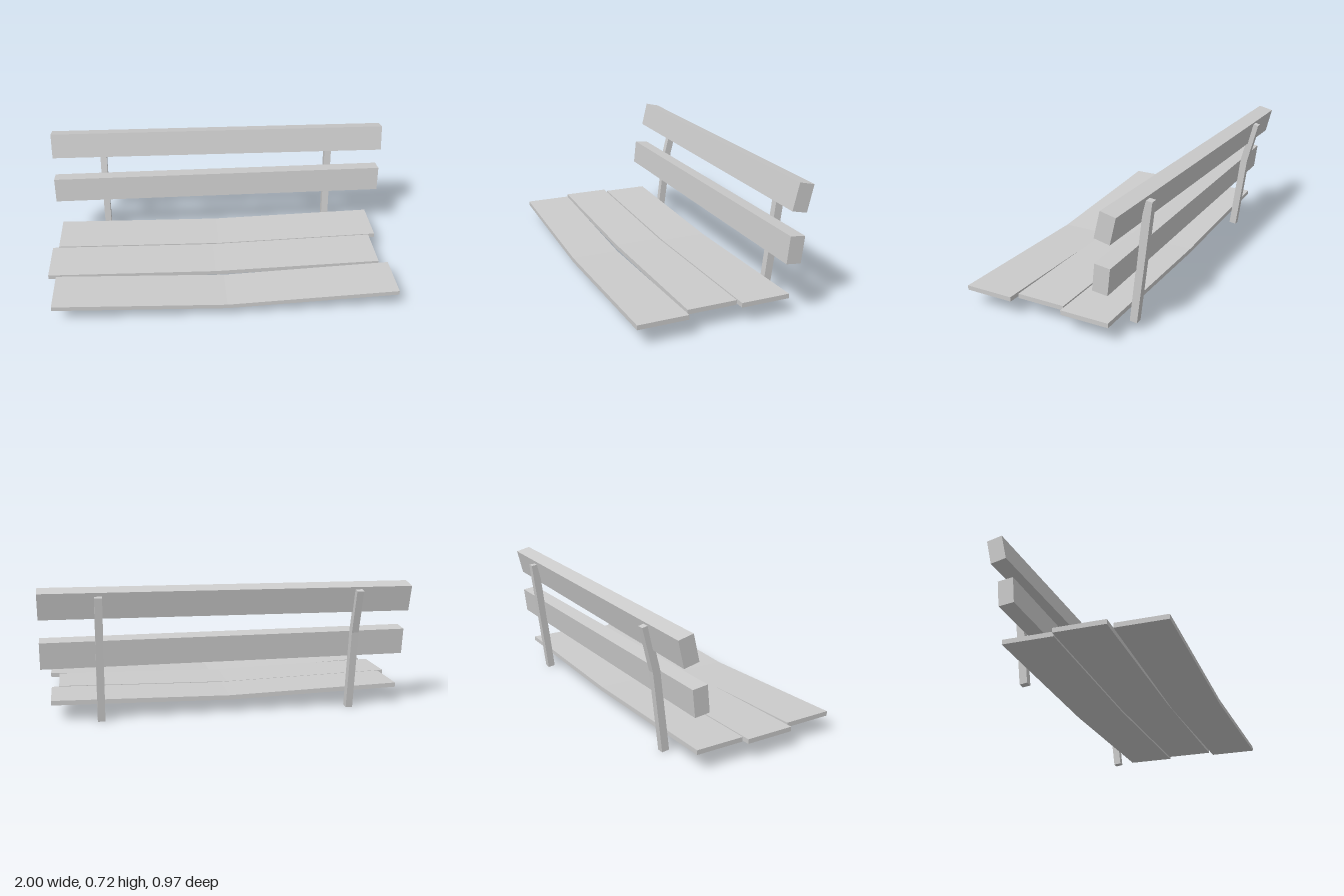
import * as THREE from 'three';

const material = new THREE.MeshStandardMaterial({
  color: 0xcccccc, flatShading: true, side: THREE.DoubleSide,
});

// Lofts matching [z, y] rings along x; rings run counter-clockwise seen from +x.
function loft(name, sections) {
  const pos = [];
  const tri = (...pts) => pts.forEach((p) => pos.push(...p));
  const rings = sections.map(([x, ring]) => ring.map(([z, y]) => [x, y, z]));
  const n = rings[0].length;
  for (let s = 0; s < rings.length - 1; s++) {
    const a = rings[s], b = rings[s + 1];
    for (let i = 0; i < n; i++) {
      const j = (i + 1) % n;
      tri(a[i], a[j], b[j]);
      tri(a[i], b[j], b[i]);
    }
  }
  // End caps
  const first = rings[0], last = rings[rings.length - 1];
  for (let i = 1; i < n - 1; i++) {
    tri(first[0], first[i + 1], first[i]);
    tri(last[0], last[i], last[i + 1]);
  }
  const geometry = new THREE.BufferGeometry();
  geometry.setAttribute('position', new THREE.Float32BufferAttribute(pos, 3));
  geometry.computeVertexNormals();
  const mesh = new THREE.Mesh(geometry, material);
  mesh.name = name;
  return mesh;
}

const shift = (ring, dz, dy) => ring.map(([z, y]) => [z + dz, y + dy]);

// Seat plank sagging at its middle
function plank(name, x0, x1, zBack, zFront, sag) {
  const ring = [[zFront, 0.095], [zBack, 0.095], [zBack, 0.12], [zFront, 0.12]];
  return loft(name, [
    [x0, ring],
    [(x0 + x1) / 2, shift(ring, 0, -sag)],
    [x1, ring],
  ]);
}

export function createModel() {
  const bench = new THREE.Group();
  bench.name = 'bench';

  // Seat
  bench.add(
    plank('frontSeatPlank', -0.955, 0.965, 0.218, 0.487, 0.039),
    plank('middleSeatPlank', -1, 0.915, -0.067, 0.203, 0.022),
    plank('rearSeatPlank', -0.965, 0.955, -0.344, -0.075, 0.022),
  );

  // Lower backrest board
  const lower = [[-0.288, 0.308], [-0.37, 0.299], [-0.386, 0.442], [-0.303, 0.452]];
  bench.add(loft('lowerBackBoard', [[-0.98, lower], [1, lower]]));

  // Upper backrest board, knocked slightly askew
  const upper = [[-0.303, 0.58], [-0.386, 0.562], [-0.419, 0.702], [-0.337, 0.721]];
  bench.add(loft('upperBackBoard', [[-0.98, shift(upper, -0.049, -0.007)], [1, upper]]));

  // Left post, trimmed at the top front
  const leftPost = [[-0.333, 0.005], [-0.374, 0], [-0.456, 0.678], [-0.422, 0.681], [-0.405, 0.625]];
  bench.add(loft('leftPost', [[0.675, leftPost], [0.715, leftPost]]));

  // Right post, bent backwards (ring starts at the bend)
  const rightPost = [[-0.428, 0.44], [-0.487, 0.677], [-0.447, 0.686], [-0.387, 0.447],
    [-0.333, 0.005], [-0.374, 0]];
  bench.add(loft('rightPost', [[-0.702, rightPost], [-0.664, rightPost]]));

  return bench;
}
